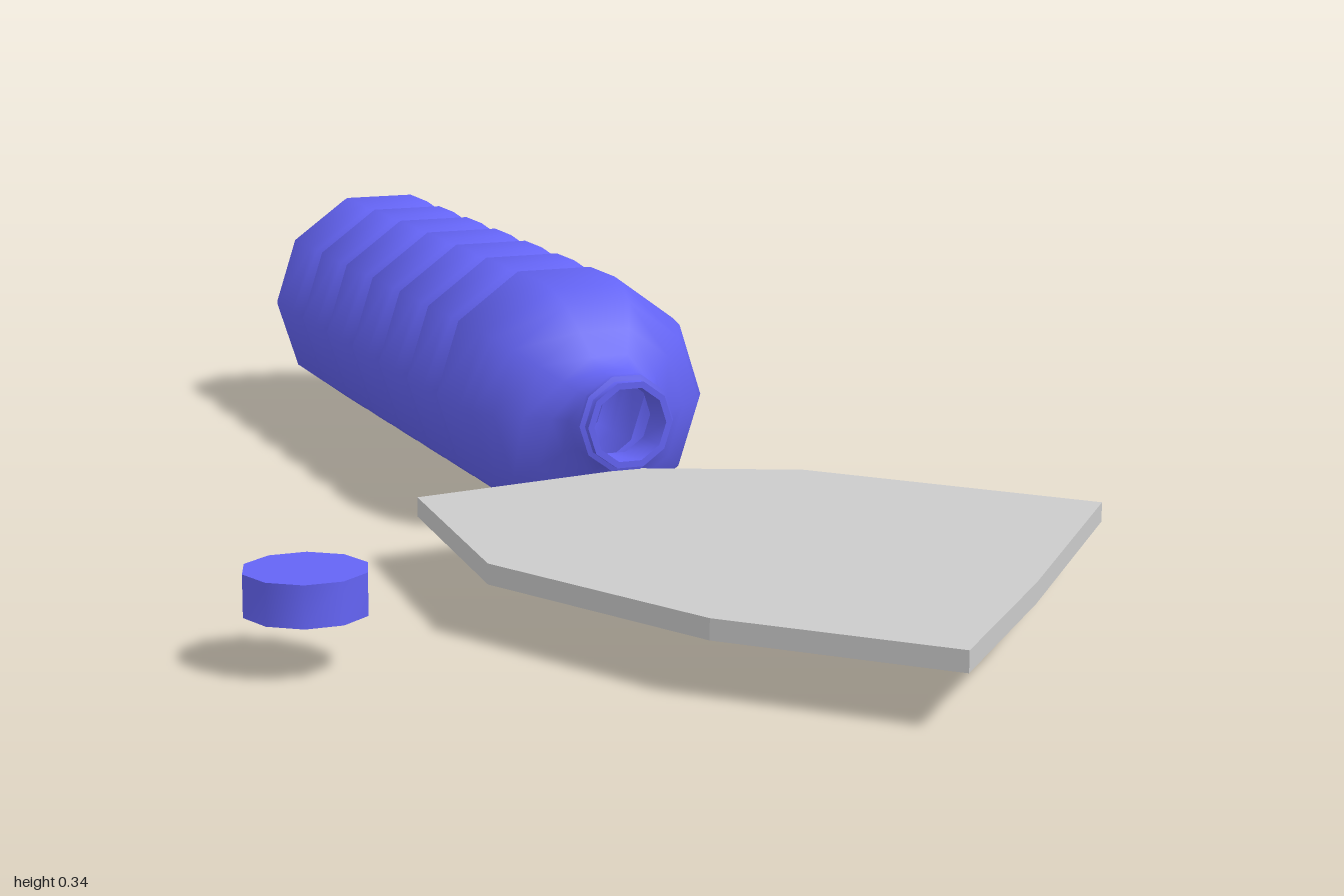
import * as THREE from 'three';
import { toCreasedNormals } from 'three/addons/utils/BufferGeometryUtils.js';

const SIDES = 10;

export function createModel() {
  const model = new THREE.Group();
  const blue = new THREE.MeshStandardMaterial({ color: 0x6464f5, side: THREE.DoubleSide });
  const grey = new THREE.MeshStandardMaterial({ color: 0xcccccc });

  const add = (name, geometry, material, x = 0, y = 0, z = 0) => {
    const mesh = new THREE.Mesh(geometry, material);
    mesh.name = name;
    mesh.position.set(x, y, z);
    model.add(mesh);
  };

  // Bottle profile (radius, length along z): base, ribbed body, shoulder, open neck
  const R = 0.177;
  const profile = [[0, -1], [0.152, -1], [0.168, -0.985], [R, -0.955]];
  for (let i = 0; i < 6; i++) {
    const z = -0.84 + i * 0.13;
    profile.push([R, z - 0.03], [0.171, z - 0.014], [0.162, z], [0.171, z + 0.014], [R, z + 0.03]);
  }
  profile.push(
    [R, -0.07], [0.171, -0.035], [0.152, 0], [0.118, 0.027], [0.085, 0.045], [0.068, 0.065],
    [0.064, 0.095], [0.068, 0.097], [0.068, 0.106], [0.061, 0.108], [0.061, 0.12],
    [0.052, 0.12], [0.052, 0.065]
  );
  const bottle = new THREE.LatheGeometry(
    profile.map(([r, z]) => new THREE.Vector2(r, z)), SIDES, Math.PI / 2);
  bottle.rotateX(Math.PI / 2);
  add('bottle', toCreasedNormals(bottle, 0.9), blue, 0.06, 0.168, 0);

  // Loose screw cap
  const cap = new THREE.CylinderGeometry(0.076, 0.076, 0.052, SIDES, 1, false, Math.PI / 2);
  add('cap', toCreasedNormals(cap, 0.9), blue, -0.508, 0.094, 0.5);

  // Flat irregular slab, outline given as (x, z)
  const outline = [
    [-0.24, 0.115], [0.09, 0.063], [0.3, 0.155], [0.58, 0.465],
    [0.3, 0.78], [0.09, 0.998], [-0.12, 0.78], [-0.27, 0.465]
  ];
  const shape = new THREE.Shape(outline.map(([x, z]) => new THREE.Vector2(x, -z)));
  const slab = new THREE.ExtrudeGeometry(shape, { depth: 0.026, bevelEnabled: false });
  slab.rotateX(-Math.PI / 2);
  add('slab', slab, grey, 0, 0.068, 0);

  return model;
}
